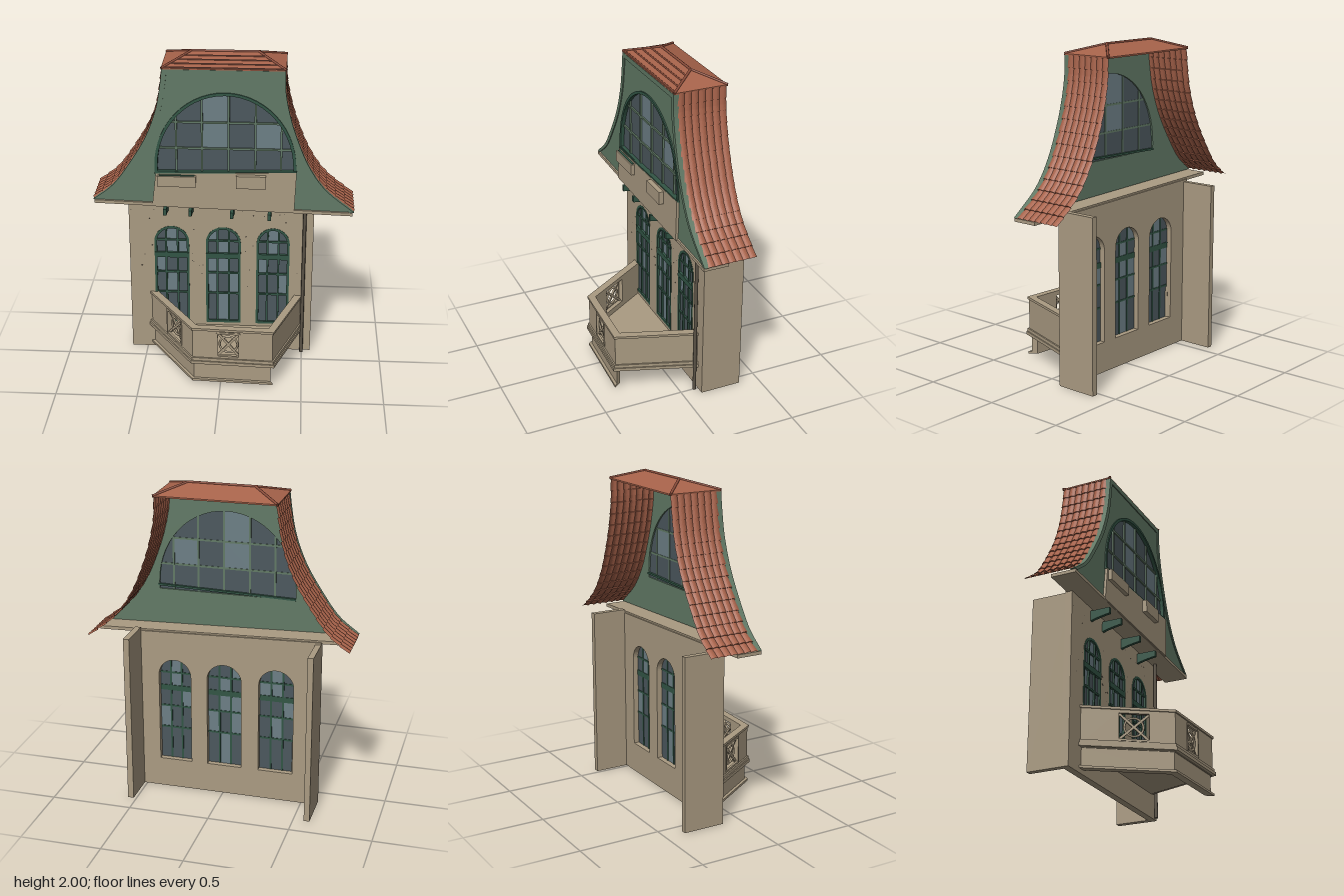
import * as THREE from 'three';
import { ConvexGeometry } from 'three/addons/geometries/ConvexGeometry.js';

const paint = (name, color, side = THREE.FrontSide) => {
  const m = new THREE.MeshStandardMaterial({ color, side });
  m.name = name;
  return m;
};

export function createModel() {
  const model = new THREE.Group();
  const stone = paint('stone', 0xaa9b82);
  const green = paint('gable green', 0x627a66);
  const trim = paint('dark green trim', 0x325545);
  const tile = paint('roof tile', 0xa6624a, THREE.DoubleSide);
  const ridgeRed = paint('ridge tile', 0x8a4c3a);
  const dark = paint('dark metal', 0x5b5347);
  const glassDark = paint('dark glass', 0x4c585e, THREE.DoubleSide);
  const glassLight = paint('light glass', 0x6d7f86, THREE.DoubleSide);

  const add = (name, geo, mat, parent = model) => {
    const m = new THREE.Mesh(geo, mat);
    m.name = name;
    parent.add(m);
    return m;
  };
  // box from its min and max on each axis
  const box = (name, x0, x1, y0, y1, z0, z1, mat, parent) => {
    const g = new THREE.BoxGeometry(x1 - x0, y1 - y0, z1 - z0);
    return add(name, g.translate((x0 + x1) / 2, (y0 + y1) / 2, (z0 + z1) / 2), mat, parent);
  };
  const poly = pts => new THREE.Shape(pts.map(p => new THREE.Vector2(p[0], p[1])));
  // upright plate between two depths
  const slab = (name, shape, z0, z1, mat, parent) =>
    add(name, new THREE.ExtrudeGeometry(shape, { depth: z1 - z0, bevelEnabled: false }).translate(0, 0, z0), mat, parent);
  const rod = (name, a, b, r, mat) => {
    const A = new THREE.Vector3(...a), B = new THREE.Vector3(...b);
    const m = add(name, new THREE.CylinderGeometry(r, r, A.distanceTo(B), 8), mat);
    m.position.copy(A).add(B).multiplyScalar(0.5);
    m.quaternion.setFromUnitVectors(new THREE.Vector3(0, 1, 0), B.sub(A).normalize());
  };

  // ---- arched openings: straight sides up to "spring", then half an ellipse
  const archPts = (w, inset = 0) => {
    const pts = [[w.cx - w.rx + inset, w.y0 + inset], [w.cx + w.rx - inset, w.y0 + inset]];
    for (let i = 0; i <= 28; i++) {
      const a = Math.PI * i / 28;
      pts.push([w.cx + Math.cos(a) * (w.rx - inset), w.spring + Math.sin(a) * (w.ry - inset)]);
    }
    return pts;
  };
  const archWindow = (name, w, z) => {
    const g = new THREE.Group();
    g.name = name;
    model.add(g);
    const top = x => w.spring + w.ry * Math.sqrt(Math.max(0, 1 - ((x - w.cx) / w.rx) ** 2));
    const half = y => y <= w.spring ? w.rx : w.rx * Math.sqrt(Math.max(0, 1 - ((y - w.spring) / w.ry) ** 2));
    const ring = poly(archPts(w, -0.002));
    ring.holes.push(poly(archPts(w, w.frame)));
    slab('frame', ring, z + 0.001, z + w.proud, trim, g);
    for (let r = 0; r + 1 < w.rows.length; r++) {
      for (let c = 0; c + 1 < w.cols.length; c++) {
        const x0 = w.cols[c], x1 = w.cols[c + 1], y0 = w.rows[r];
        const edge = [];
        for (let i = 8; i >= 0; i--) {
          const x = x0 + (x1 - x0) * i / 8;
          edge.push([x, Math.max(y0, Math.min(w.rows[r + 1], top(x)))]);
        }
        if (!edge.some(p => p[1] > y0 + 0.005)) continue;
        const pane = new THREE.ShapeGeometry(poly([[x0, y0], [x1, y0], ...edge])).translate(0, 0, z);
        add('pane', pane, w.light[r][c] === '1' ? glassLight : glassDark, g);
      }
    }
    const b = w.bar;
    w.cols.slice(1, -1).forEach(x => box('mullion', x - b, x + b, w.y0, top(x), z - 0.004, z + 0.01, w.barMat, g));
    w.rows.slice(1, -1).forEach(y => box('glazingBar', w.cx - half(y), w.cx + half(y), y - b, y + b, z - 0.003, z + 0.009, w.barMat, g));
    return g;
  };

  // ---- lower wall with three arched windows, its top following the tilted gable
  const bottom = x => 1.065 - 0.031 * x;
  const wall = poly([[-0.6, 0], [0.555, 0], [0.555, bottom(0.555) - 0.01], [-0.6, bottom(-0.6) - 0.01]]);
  [[-0.333, 0.108], [-0.008, 0.108], [0.305, 0.102]].forEach(([cx, rx], i) => {
    const w = {
      cx, rx, ry: 0.105, spring: 0.76, y0: 0.19, frame: 0.014, proud: 0.013, bar: 0.006, barMat: trim,
      rows: [0.19, 0.40, 0.545, 0.667, 0.77, 0.87], cols: [-1, -0.34, 0.34, 1].map(k => cx + k * rx),
      light: [['000', '010', '100', '011', '010'], ['010', '101', '110', '010', '100'], ['000', '001', '100', '010', '010']][i],
    };
    wall.holes.push(poly(archPts(w)));
    const g = archWindow('archedWindow', w, -0.126);
    box('transom', cx - rx, cx + rx, 0.65, 0.685, -0.13, -0.11, trim, g);
  });
  slab('frontWall', wall, -0.16, -0.115, stone);
  box('rightSideWall', -0.6, -0.565, 0, 1.06, -0.375, -0.117, stone);
  box('leftSideWall', 0.518, 0.555, 0, 1.06, -0.375, -0.157, stone);

  // small pits scattered in the plaster
  let seed = 7;
  const rnd = () => (seed = (seed * 16807) % 2147483647) / 2147483647;
  for (let i = 0; i < 50; i++) {
    const x = -0.59 + rnd() * 1.05, y = 0.42 + rnd() * 0.6;
    if (y < 0.88 && [-0.333, -0.008, 0.305].some(c => Math.abs(x - c) < 0.12)) continue;
    box('plasterPit', x, x + 0.007, y, y + 0.005, -0.116, -0.114, dark);
  }

  // ---- gable with swept sides
  const curve = pts => new THREE.CatmullRomCurve3(pts.map(p => new THREE.Vector3(p[0], p[1], 0)));
  const sideCurves = [
    curve([[-0.363, 1.93], [-0.375, 1.83], [-0.403, 1.68], [-0.468, 1.505], [-0.575, 1.325], [-0.675, 1.19], [-0.797, 1.093]]),
    curve([[0.363, 1.93], [0.365, 1.81], [0.393, 1.66], [0.434, 1.525], [0.514, 1.335], [0.614, 1.19], [0.793, 1.043]]),
  ];
  const [leftEdge, rightEdge] = sideCurves.map(c => c.getSpacedPoints(42).map(p => [p.x, p.y]));
  const gable = poly([...leftEdge, ...rightEdge.slice().reverse()]);
  const big = {
    cx: 0.01, rx: 0.425, ry: 0.47, spring: 1.32, y0: 1.275, frame: 0.016, proud: 0.024, bar: 0.006, barMat: green,
    rows: [1.275, 1.435, 1.6, 1.8], cols: [-0.415, -0.285, -0.13, 0.03, 0.19, 0.345, 0.435],
    light: ['000000', '001010', '001000'],
  };
  gable.holes.push(poly(archPts(big)));
  slab('gable', gable, -0.026, 0, green);
  archWindow('gableWindow', big, -0.016);
  [leftEdge, rightEdge].forEach((e, i) => {
    const inner = e.map(([x, y]) => [x + (i ? -0.03 : 0.03), y]).reverse();
    slab('rakeBoard', poly([...e, ...inner]), -0.001, 0.006, green);
  });
  box('topBoard', -0.36, 0.36, 1.9, 1.93, -0.001, 0.006, green);
  slab('soffit', poly([[-0.79, bottom(-0.79) - 0.02], [0.785, bottom(0.785) - 0.02], [0.785, bottom(0.785)], [-0.79, bottom(-0.79)]]), -0.15, 0.008, stone);

  // stone apron below the gable window, with two flower boxes
  slab('apron', poly([[-0.435, 1.06], [0.43, 1.04], [0.44, 1.3], [-0.41, 1.275]]), 0, 0.016, stone);
  slab('windowSill', poly([[-0.415, 1.272], [0.44, 1.295], [0.44, 1.307], [-0.415, 1.284]]), -0.032, 0.014, trim);
  box('wideFlowerBox', -0.4, -0.165, 1.2, 1.268, 0.005, 0.04, stone);
  box('flowerBoxFilling', -0.39, -0.175, 1.266, 1.272, 0.005, 0.03, trim);
  box('narrowFlowerBox', 0.078, 0.257, 1.2, 1.28, 0.005, 0.045, stone);

  // curved brackets standing out from the wall
  const bracket = new THREE.Shape();
  bracket.moveTo(-0.117, -0.066);
  bracket.quadraticCurveTo(-0.07, -0.05, 0.012, -0.038);
  bracket.lineTo(0.012, 0);
  bracket.lineTo(-0.117, 0);
  [-0.36, -0.205, 0.05, 0.28].forEach(x => {
    const g = new THREE.ExtrudeGeometry(bracket, { depth: 0.02, bevelEnabled: false }).rotateY(-Math.PI / 2);
    add('bracket', g.translate(x + 0.01, bottom(x) - 0.04, 0), trim);
  });

  // ---- tiled side roofs: ribs across z, stepped courses down the slope
  sideCurves.forEach((c, side) => {
    const rows = 14, ribs = 7, nz = ribs * 6, pos = [], idx = [];
    for (let r = 0; r < rows; r++) for (const f of [0, 0.5, 1]) {
      const t = (r + f) / rows, p = c.getPointAt(t), d = c.getTangentAt(t);
      const n = side ? [-d.y, d.x] : [d.y, -d.x];
      for (let k = 0; k <= nz; k++) {
        const h = -0.006 + 0.006 * f + 0.008 * Math.abs(Math.sin(Math.PI * ribs * k / nz));
        pos.push(p.x + n[0] * h, p.y + n[1] * h, -0.018 - 0.307 * k / nz);
      }
    }
    for (let i = 0; i < rows * 3 - 1; i++) for (let k = 0; k < nz; k++) {
      const a = i * (nz + 1) + k, b = a + nz + 1;
      if (side) idx.push(a, b, a + 1, b, b + 1, a + 1);
      else idx.push(a, a + 1, b, b, a + 1, b + 1);
    }
    const g = new THREE.BufferGeometry();
    g.setAttribute('position', new THREE.Float32BufferAttribute(pos, 3));
    g.setIndex(idx);
    const flat = g.toNonIndexed();
    flat.computeVertexNormals();
    add(side ? 'leftRoof' : 'rightRoof', flat, tile);
  });

  // ---- hipped cap
  const eave = 1.937, peak = 1.992, zf = 0.004, zb = -0.328, zr = -0.175;
  const cap = [[-0.2, peak, zr], [0.2, peak, zr]];
  for (const x of [-0.367, 0.367]) for (const z of [zf, zb]) for (const y of [1.928, eave]) cap.push([x, y, z]);
  add('roofCap', new ConvexGeometry(cap.map(p => new THREE.Vector3(...p))), tile);
  rod('ridge', [-0.2, peak, zr], [0.2, peak, zr], 0.008, ridgeRed);
  for (const s of [-1, 1]) for (const z of [zf, zb]) rod('hipRidge', [s * 0.365, eave, z], [s * 0.2, peak, zr], 0.008, ridgeRed);
  for (const f of [0.05, 0.27, 0.5, 0.73]) {
    const x = 0.365 - 0.165 * f, y = eave + (peak - eave) * f, z = zf + (zr - zf) * f;
    rod('tileCourse', [-x, y, z], [x, y, z], 0.005, ridgeRed);
  }

  // ---- downpipe
  rod('downpipe', [0.498, 0, -0.092], [0.498, 1.045, -0.092], 0.011, dark);

  // ---- balcony, a three-sided bay
  const wallZ = -0.117;
  const plan = [[-0.468, wallZ], [-0.17, 0.335], [0.32, 0.36], [0.485, wallZ]];
  // plan moved outward by d, its ends staying on the wall
  const grow = d => {
    const lines = [0, 1, 2].map(i => {
      const [p, q] = [plan[i], plan[i + 1]], l = Math.hypot(q[0] - p[0], q[1] - p[1]);
      const u = [(q[0] - p[0]) / l, (q[1] - p[1]) / l];
      return { p: [p[0] - u[1] * d, p[1] + u[0] * d], u };
    });
    const wallLine = { p: [0, wallZ], u: [1, 0] };
    const all = [wallLine, ...lines, wallLine];
    return [0, 1, 2, 3].map(i => {
      const a = all[i], b = all[i + 1];
      const k = ((b.p[0] - a.p[0]) * b.u[1] - (b.p[1] - a.p[1]) * b.u[0]) / (a.u[0] * b.u[1] - a.u[1] * b.u[0]);
      return [a.p[0] + a.u[0] * k, a.p[1] + a.u[1] * k];
    });
  };
  const flatSlab = (name, pts, y0, y1) => add(name, new THREE.ExtrudeGeometry(poly(pts.map(p => [p[0], -p[1]])),
    { depth: y1 - y0, bevelEnabled: false }).rotateX(-Math.PI / 2).translate(0, y0, 0), stone);
  const band = (name, outer, inner, y0, y1, sides) => {
    const o = grow(outer), n = grow(inner);
    for (let i = 0; i < sides; i++) flatSlab(name, [o[i], o[i + 1], n[i + 1], n[i]], y0, y1);
  };
  flatSlab('balconyFloor', grow(-0.005), 0.152, 0.168);
  band('balconyCoping', 0.008, -0.038, 0.385, 0.4, 3);
  band('balconyLedge', 0.016, -0.03, 0.155, 0.175, 3);
  band('balconyLedgeStep', 0.009, -0.03, 0.175, 0.195, 3);
  band('balconyBase', -0.012, -0.04, 0.03, 0.155, 2);
  band('balconyPlinth', 0.006, -0.04, 0.028, 0.042, 2);

  // parapet panels, two of them pierced by a grille
  [[0.306, 0.092], [0.22, 0.07], null].forEach((grille, i) => {
    const [p, q] = [plan[i], plan[i + 1]], len = Math.hypot(q[0] - p[0], q[1] - p[1]);
    const side = new THREE.Group();
    side.name = 'parapet';
    side.position.set(p[0], 0, p[1]);
    side.rotation.y = Math.atan2(p[1] - q[1], q[0] - p[0]);
    model.add(side);
    const panel = poly([[0, 0.165], [len, 0.165], [len, 0.39], [0, 0.39]]);
    if (grille) {
      const [u, w] = grille, h = 0.083, y = 0.288;
      panel.holes.push(poly([[u - w, y - h], [u + w, y - h], [u + w, y + h], [u - w, y + h]]));
      for (const s of [-1, 1]) {
        const bar = add('grilleBar', new THREE.BoxGeometry(2 * Math.hypot(w, h), 0.014, 0.012), stone, side);
        bar.position.set(u, y, -0.015);
        bar.rotation.z = s * Math.atan2(h, w);
        box('grilleFrame', u + s * w - 0.006, u + s * w + 0.006, y - h, y + h, -0.01, 0.004, stone, side);
        box('grilleFrame', u - w, u + w, y + s * h - 0.006, y + s * h + 0.006, -0.01, 0.004, stone, side);
      }
      const hoop = add('grilleHoop', new THREE.TorusGeometry(0.055, 0.007, 6, 24), stone, side);
      hoop.position.set(u, y, -0.015);
    }
    slab('panel', panel, -0.036, 0, stone, side);
  });

  return model;
}
